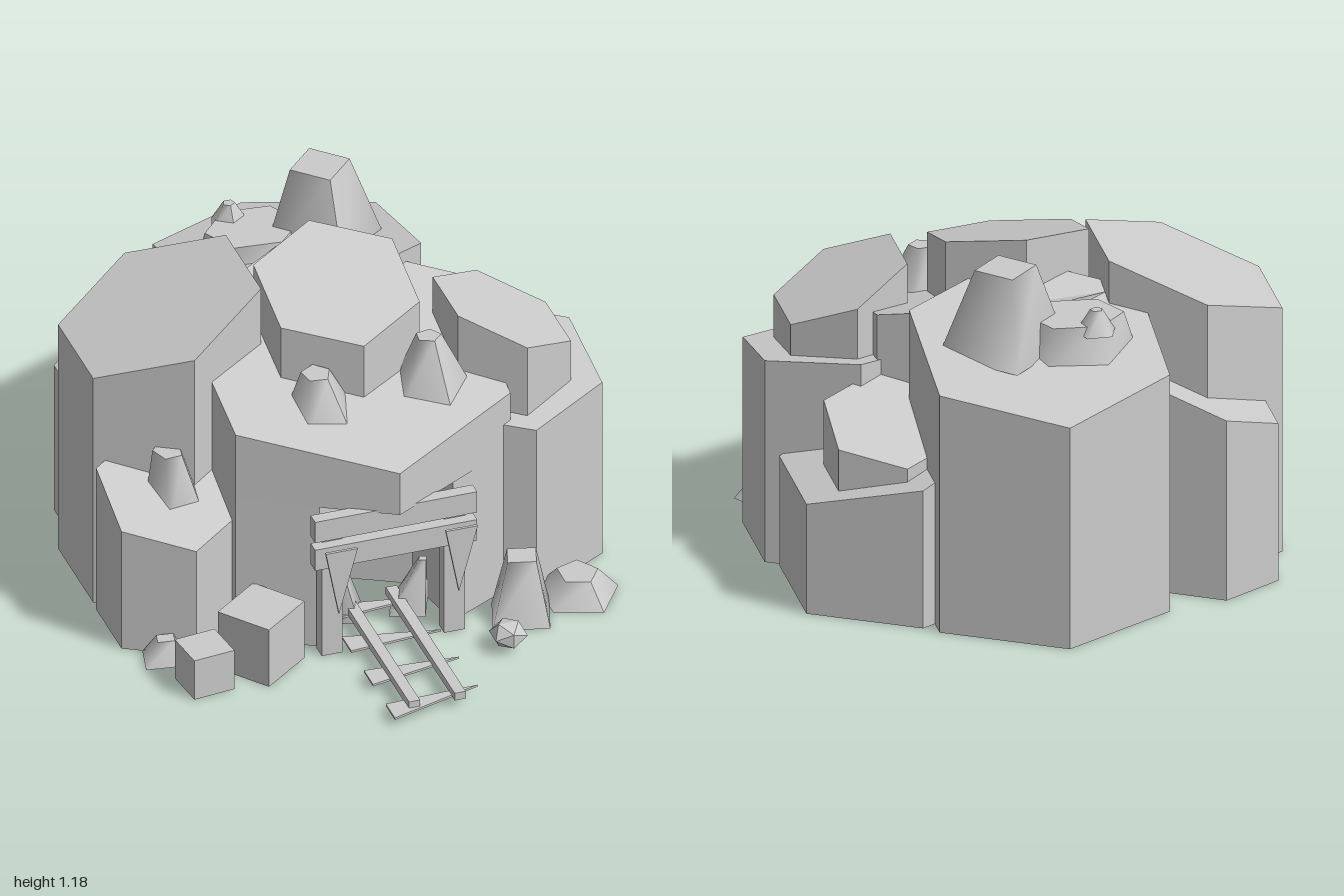
import * as THREE from 'three';

const material = new THREE.MeshStandardMaterial({ color: 0xcccccc, side: THREE.DoubleSide });

export function createModel() {
  const model = new THREE.Group();

  function add(name, geometry, x = 0, y = 0, z = 0, turn = 0) {
    const mesh = new THREE.Mesh(geometry, material);
    mesh.name = name;
    mesh.position.set(x, y, z);
    mesh.rotation.y = turn;
    model.add(mesh);
    return mesh;
  }

  // Upright prism over an [x, z] outline, with its top cut by a sloping plane
  function prism(name, outline, bottom, topAt) {
    const shape = new THREE.Shape(outline.map(([x, z]) => new THREE.Vector2(x, -z)));
    const geometry = new THREE.ExtrudeGeometry(shape, { depth: 1, bevelEnabled: false });
    geometry.rotateX(-Math.PI / 2);
    const p = geometry.attributes.position;
    for (let i = 0; i < p.count; i++) {
      p.setY(i, p.getY(i) > 0.5 ? topAt(p.getX(i), p.getZ(i)) : bottom);
    }
    geometry.computeVertexNormals();
    return add(name, geometry);
  }

  // Hexagon with corners towards +z and -z
  function hexagon(cx, cz, halfX, halfZ) {
    return [[0, 1], [1, 0.5], [1, -0.5], [0, -1], [-1, -0.5], [-1, 0.5]]
      .map(([x, z]) => [cx + x * halfX, cz + z * halfZ]);
  }

  // Rock columns: name, centre x, z, half widths x, z, bottom, top at centre, slope in x, slope in z
  const columns = [
    ['backColumn', 0.02, -0.55, 0.385, 0.45, 0, 0.9, 0, 0.25],
    ['middleColumn', 0.005, -0.02, 0.24, 0.27, 0.56, 1.07, 0, -0.3],
    ['tallRightColumn', -0.54, -0.21, 0.29, 0.345, 0, 0.98, 0.386, 0],
    ['lowRightColumn', -0.62, 0.13, 0.215, 0.25, 0, 0.5, 0, -0.38],
    ['backRightColumn', -0.565, -0.49, 0.2, 0.24, 0, 0.64, 0.4, 0],
    ['leftColumn', 0.55, 0.07, 0.285, 0.325, 0, 0.69, 0, -0.17],
    ['leftColumnCap', 0.545, 0.07, 0.195, 0.25, 0.6, 0.91, -0.46, 0],
    ['backLeftColumn', 0.45, -0.33, 0.345, 0.4, 0, 0.49, -0.29, 0],
    ['backLeftColumnCap', 0.48, -0.41, 0.205, 0.22, 0.35, 0.61, 0, 0.375],
  ];
  for (const [name, cx, cz, hx, hz, bottom, top, sx, sz] of columns) {
    prism(name, hexagon(cx, cz, hx, hz), bottom, (x, z) => top + sx * (x - cx) + sz * (z - cz));
  }

  // Front column: full upper block over a lower block with the cave cut into it
  const front = hexagon(0.01, 0.06, 0.475, 0.53);
  const cave = [[-0.22, 0.457], [-0.18, 0.2], [0.005, 0.1], [0.19, 0.2], [0.24, 0.457]];
  prism('frontColumnUpper', front, 0.54, (x, z) => 0.7 - 0.27 * (z - 0.59) - 0.04 * x);
  prism('caveWalls', [...cave, ...front.slice(1)], 0, () => 0.54);

  // Timber entrance
  for (const [x, spikeX] of [[-0.198, -0.19], [0.225, 0.225]]) {
    add('entrancePost', new THREE.BoxGeometry(0.072, 0.46, 0.05), x, 0.23, 0.49);
    const spike = new THREE.Shape([
      new THREE.Vector2(-0.055, 0.44), new THREE.Vector2(-0.01, 0.2), new THREE.Vector2(0.055, 0.44),
    ]);
    add('hangingSplinter', new THREE.ExtrudeGeometry(spike, { depth: 0.01, bevelEnabled: false }), spikeX, 0, 0.578);
  }
  for (const y of [0.508, 0.4]) {
    add('entranceBeam', new THREE.BoxGeometry(0.56, 0.08, 0.045), 0.01, y, 0.53);
  }

  // Track with thin wedge-shaped ties
  for (const x of [-0.068, 0.09]) {
    add('rail', new THREE.BoxGeometry(0.038, 0.028, 0.68), x, 0.043, 0.615);
  }
  for (const [z, tipZ] of [[0.95, 0.895], [0.735, 0.715], [0.52, 0.54], [0.32, 0.33]]) {
    prism('railTie', [[-0.15, z + 0.045], [0.17, tipZ], [-0.15, z - 0.045]], 0.025, () => 0.033);
  }

  // Boulder: tapered, leaning lump with few sides, resting on height y
  function boulder(name, x, y, z, w, h, d, { sides = 5, taper = 0.4, lean = [0, 0], turn = 0, tilt = 0 } = {}) {
    const geometry = new THREE.CylinderGeometry(taper, 1, 1, sides);
    geometry.rotateY(turn);
    geometry.translate(0, 0.5, 0);
    const p = geometry.attributes.position;
    for (let i = 0; i < p.count; i++) {
      const up = p.getY(i);
      p.setX(i, p.getX(i) * w / 2 + up * lean[0]);
      p.setY(i, up * h + p.getX(i) * tilt);
      p.setZ(i, p.getZ(i) * d / 2 + up * lean[1]);
    }
    geometry.computeVertexNormals();
    return add(name, geometry, x, y, z);
  }

  // Boulders on the columns
  boulder('summitBoulder', 0.135, 0.87, -0.515, 0.43, 0.31, 0.43, { sides: 4, taper: 0.48, lean: [0, -0.04] });
  boulder('summitSlab', -0.1, 0.86, -0.55, 0.4, 0.13, 0.32, { sides: 6, taper: 0.8, turn: 0.4 });
  boulder('summitStone', -0.15, 0.96, -0.64, 0.14, 0.08, 0.13, { sides: 5, taper: 0.3 });
  boulder('ledgeBoulder', -0.14, 0.74, 0.25, 0.25, 0.16, 0.27, { taper: 0.4, lean: [-0.01, -0.03], turn: 0.5 });
  boulder('ledgeBoulder', 0.245, 0.74, 0.22, 0.29, 0.21, 0.26, { taper: 0.3, lean: [0, -0.02], turn: 0.2 });
  boulder('sideBoulder', -0.6, 0.43, 0.12, 0.2, 0.2, 0.24, { taper: 0.5, lean: [-0.02, -0.02], turn: 0.7 });

  // Boulders on the ground
  boulder('groundBoulder', 0.46, 0, 0.5, 0.27, 0.2, 0.24, { sides: 4, taper: 0.5, turn: 0.5, lean: [0.02, -0.05] });
  boulder('groundBoulder', 0.68, 0, 0.43, 0.28, 0.08, 0.3, { taper: 0.5, turn: 0.3 });
  boulder('groundBoulder', -0.72, 0, 0.36, 0.2, 0.08, 0.16, { sides: 4, taper: 0.4, turn: 0.6 });
  boulder('caveBoulder', -0.09, 0, 0.3, 0.18, 0.27, 0.16, { sides: 4, taper: 0.35, turn: 0.4, lean: [-0.04, 0] });
  boulder('caveBoulder', 0.13, 0, 0.33, 0.17, 0.18, 0.16, { sides: 4, taper: 0.2, turn: 0.4, lean: [0.05, 0] });
  add('pebble', new THREE.IcosahedronGeometry(0.065, 0), 0.355, 0.06, 0.675).scale.y = 0.75;

  // Square blocks beside the entrance
  add('smallBlock', new THREE.BoxGeometry(0.145, 0.15, 0.145), -0.65, 0.075, 0.545, 0.12);
  add('largeBlock', new THREE.BoxGeometry(0.21, 0.22, 0.2), -0.435, 0.11, 0.49, 0.65);

  return model;
}
